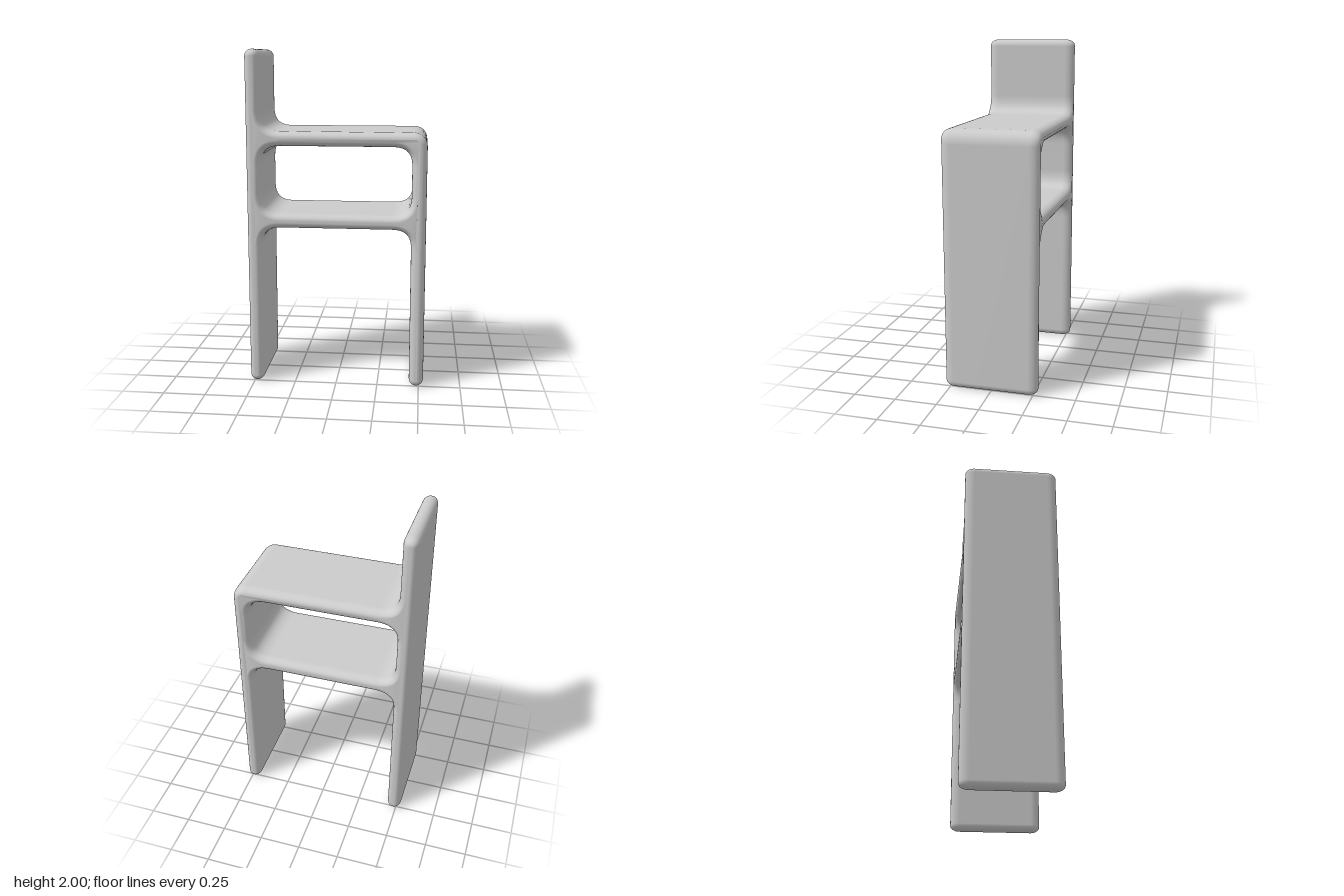
import * as THREE from 'three';
import { mergeVertices } from 'three/addons/utils/BufferGeometryUtils.js';

const BEVEL = 0.036; // how far the rounded edge swells out from the end face
const ROUND = 0.055; // length of the rounded edge along z
const HALF_DEPTH = 0.277;

// Traces corners [x, y, softness] into a path with softened corners
function softPath(path, corners) {
  const n = corners.length;
  const toward = (a, b, d) => {
    const len = Math.hypot(b[0] - a[0], b[1] - a[1]);
    return [a[0] + (b[0] - a[0]) * d / len, a[1] + (b[1] - a[1]) * d / len];
  };
  corners.forEach((c, i) => {
    const start = toward(c, corners[(i + n - 1) % n], c[2]);
    const end = toward(c, corners[(i + 1) % n], c[2]);
    if (i === 0) path.moveTo(...start);
    else path.lineTo(...start);
    path.quadraticCurveTo(c[0], c[1], ...end);
  });
  path.closePath();
  return path;
}

export function createModel() {
  const model = new THREE.Group();
  model.name = 'chair';
  const grey = new THREE.MeshStandardMaterial({ color: 0xcccccc });
  grey.name = 'light grey';

  // Narrow end-face outline; the bevel swells it to full thickness
  const xo = 0.528 - BEVEL, xi = 0.442 + BEVEL;
  const bottom = BEVEL, top = 2 - BEVEL;
  const seatTop = 1.53 - BEVEL, seatUnder = 1.445 + BEVEL;
  const shelfTop = 1.045 - BEVEL, shelfUnder = 0.96 + BEVEL;
  const tip = 0.0065, fillet = 0.15;

  const outline = softPath(new THREE.Shape(), [
    [-xo, bottom, tip], [-xi, bottom, tip],
    [-xi, shelfUnder, fillet], [xi, shelfUnder, fillet],
    [xi, bottom, tip], [xo, bottom, tip],
    [xo, seatTop, 0.05], [-xi, seatTop, fillet],
    [-xi, top, tip], [-xo, top, tip],
  ]);
  // Opening between the seat and the shelf
  outline.holes.push(softPath(new THREE.Path(), [
    [-xi, shelfTop, fillet], [-xi, seatUnder, fillet],
    [xi, seatUnder, fillet], [xi, shelfTop, fillet],
  ]));

  const depth = 2 * (HALF_DEPTH - ROUND);
  let geometry = new THREE.ExtrudeGeometry(outline, {
    depth, curveSegments: 12, bevelEnabled: true,
    bevelSize: BEVEL, bevelThickness: ROUND, bevelSegments: 8,
  });
  geometry.translate(0, 0, -depth / 2);

  // Slight swelling in depth where the slabs meet
  const p = geometry.attributes.position;
  for (let i = 0; i < p.count; i++) {
    const dx = (Math.abs(p.getX(i)) - 0.485) / 0.08;
    let swell = 0;
    for (const y of [1.0, 1.49]) {
      const dy = (p.getY(i) - y) / 0.08;
      swell += Math.exp(-dx * dx - dy * dy);
    }
    p.setZ(i, p.getZ(i) * (1 + 0.025 * swell));
  }

  // Weld for smooth shading
  geometry.deleteAttribute('uv');
  geometry.deleteAttribute('normal');
  geometry = mergeVertices(geometry, 1e-5);
  geometry.computeVertexNormals();

  const frame = new THREE.Mesh(geometry, grey);
  frame.name = 'seatShelfAndLegs';
  model.add(frame);
  return model;
}
